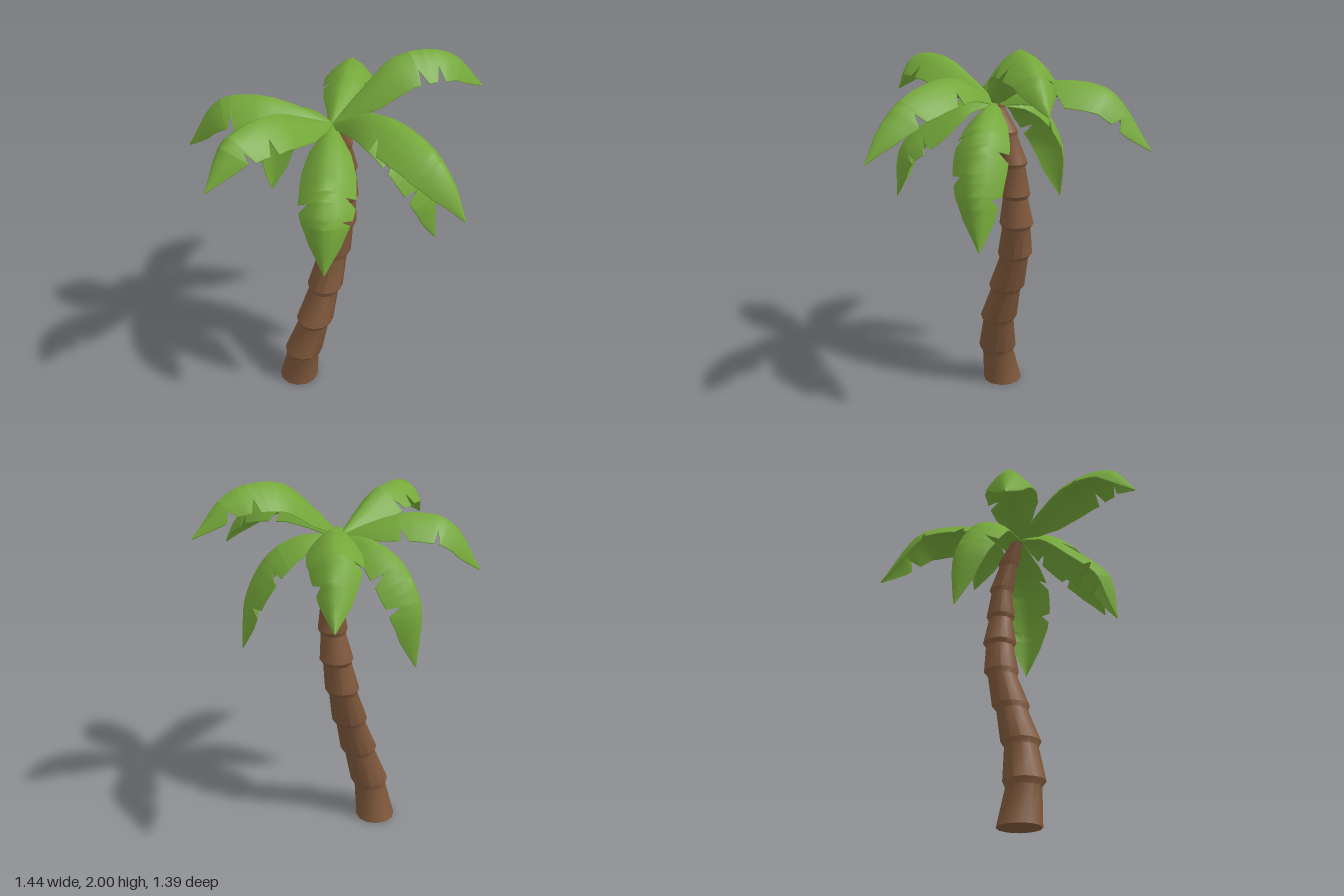
import * as THREE from 'three';
import { toCreasedNormals } from 'three/addons/utils/BufferGeometryUtils.js';

const leafGreen = new THREE.MeshStandardMaterial({ color: 0x75a83a });
leafGreen.name = 'leafGreen';
const barkBrown = new THREE.MeshStandardMaterial({ color: 0x80593c });
barkBrown.name = 'barkBrown';

// Indexed geometry from rows of equal length; flip turns the faces over
function gridGeometry(rows, flip = false) {
  const n = rows[0].length, index = [];
  for (let i = 0; i < rows.length - 1; i++) {
    for (let j = 0; j < n - 1; j++) {
      const a = i * n + j, b = a + 1, c = a + n, d = c + 1;
      if (flip) index.push(a, b, c, b, d, c);
      else index.push(a, c, b, b, c, d);
    }
  }
  const g = new THREE.BufferGeometry().setFromPoints(rows.flat());
  g.setIndex(index);
  g.computeVertexNormals();
  return g;
}

// Trunk: each segment starts wide and tapers to a pinch below the next ledge
function makeTrunk() {
  const joints = [ // x, y, z, radius
    [-0.2, 0, 0.09, 0.11], [-0.165, 0.23, 0.115, 0.106], [-0.1, 0.45, 0.1, 0.102],
    [-0.045, 0.66, 0.05, 0.097], [0, 0.87, 0, 0.092], [0.03, 1.05, -0.01, 0.09],
    [0.05, 1.22, -0.005, 0.078], [0.055, 1.39, 0.0, 0.068], [0.04, 1.55, 0.04, 0.058],
    [0.01, 1.68, 0.09, 0.04],
  ];
  const sides = 12, rows = [];
  const ring = (x, y, z, r) => Array.from({ length: sides + 1 }, (_, k) => {
    const a = (k % sides) / sides * Math.PI * 2;
    return new THREE.Vector3(x + r * Math.cos(a), y, z + r * Math.sin(a));
  });
  joints.forEach(([x, y, z, r], i) => {
    if (i > 0) {
      const p = joints[i - 1], t = 0.86;
      rows.push(ring(p[0] + (x - p[0]) * t, p[1] + (y - p[1]) * t, p[2] + (z - p[2]) * t, r * 0.84));
    }
    rows.push(ring(x, y, z, r));
  });
  rows.unshift(ring(-0.2, 0, 0.09, 0));
  rows.push(ring(0.01, 1.69, 0.09, 0));
  return new THREE.Mesh(toCreasedNormals(gridGeometry(rows), 0.6), barkBrown);
}

// Half width of a frond along its length
const outline = [[0, 0.02], [0.1, 0.055], [0.22, 0.1], [0.38, 0.132], [0.55, 0.135],
  [0.72, 0.115], [0.86, 0.075], [1, 0.003]];
function halfWidth(t, notches) {
  let k = 1;
  while (k < outline.length - 1 && outline[k][0] < t) k++;
  const [t0, w0] = outline[k - 1], [t1, w1] = outline[k];
  let w = w0 + (w1 - w0) * (t - t0) / (t1 - t0);
  // Sharp cut on the inner side of each notch, sloping out again
  for (const n of notches) {
    const d = t - n;
    if (d > 0.001 && d < 0.06) w *= 1 - 0.36 * Math.min(d / 0.012, (0.06 - d) / 0.048);
  }
  return w;
}

// Frond: arched blade folded down from a ridge, with a thin underside
function makeFrond({ path, right, left }) {
  const pts = [[0, 1.69, 0.1], ...path].map(p => new THREE.Vector3(...p));
  const curve = new THREE.CatmullRomCurve3(pts, false, 'centripetal');
  const tip = pts[pts.length - 1];
  const heading = new THREE.Vector3(tip.x - pts[0].x, 0, tip.z - pts[0].z).normalize();
  const side = new THREE.Vector3(0, 1, 0).cross(heading);
  const stations = Array.from({ length: 15 }, (_, i) => i / 14);
  for (const n of [...right, ...left]) stations.push(n, n + 0.012, n + 0.06);
  stations.sort((a, b) => a - b);
  const top = [], under = [];
  for (const t of stations) {
    const p = curve.getPointAt(t);
    const up = curve.getTangentAt(t).cross(side).normalize();
    const rowTop = [], rowUnder = [];
    for (const u of [-1, -0.75, -0.4, 0, 0.4, 0.75, 1]) {
      const w = halfWidth(t, u < 0 ? right : left), full = halfWidth(t, []);
      const s = u * w, v = Math.abs(s) / full;
      const drop = full * (0.35 * v + 0.5 * v * v);
      const thick = 0.022 * (1 - u * u) * Math.min(1, (1 - t) * 5) + 0.004;
      rowTop.push(p.clone().addScaledVector(side, s).addScaledVector(up, -drop));
      rowUnder.push(p.clone().addScaledVector(side, s).addScaledVector(up, -drop - thick));
    }
    top.push(rowTop);
    under.push(rowUnder);
  }
  const frond = new THREE.Group();
  // Rim strips close the gap between the two faces
  const rim = k => top.map((r, i) => [r[k], under[i][k]]);
  const parts = { bladeTop: gridGeometry(top), bladeUnderside: gridGeometry(under, true),
    rightRim: gridGeometry(rim(0), true), leftRim: gridGeometry(rim(6)) };
  for (const [name, g] of Object.entries(parts)) {
    const m = new THREE.Mesh(g, leafGreen);
    m.name = name;
    frond.add(m);
  }
  return frond;
}

// Ridge paths from the crown outward, with notch positions on each edge
const fronds = {
  backFrond: { path: [[0.03, 1.77, -0.07], [0.05, 1.81, -0.2], [0.065, 1.77, -0.47], [0.08, 1.47, -0.69]],
    right: [0.34, 0.76], left: [0.32, 0.6] },
  backLeftFrond: { path: [[0.13, 1.84, 0.05], [0.3, 1.99, -0.03], [0.54, 1.97, -0.12], [0.72, 1.77, -0.2]],
    right: [0.5, 0.62], left: [0.62, 0.78] },
  leftFrond: { path: [[0.2, 1.69, 0.12], [0.37, 1.59, 0.14], [0.5, 1.36, 0.15], [0.53, 1.07, 0.13]],
    right: [0.35, 0.6], left: [0.45, 0.72] },
  frontLeftFrond: { path: [[0.2, 1.84, 0.27], [0.41, 1.81, 0.45], [0.55, 1.67, 0.57], [0.62, 1.52, 0.63]],
    right: [0.4], left: [0.36, 0.66] },
  frontFrond: { path: [[0, 1.7, 0.25], [0, 1.6, 0.43], [0, 1.44, 0.6], [0, 1.18, 0.63]],
    right: [0.55], left: [0.5, 0.66] },
  frontRightFrond: { path: [[-0.12, 1.79, 0.24], [-0.25, 1.88, 0.4], [-0.41, 1.85, 0.59], [-0.5, 1.66, 0.7]],
    right: [0.4, 0.54], left: [0.55, 0.72] },
  rightFrond: { path: [[-0.18, 1.77, 0.08], [-0.38, 1.81, 0.07], [-0.56, 1.76, 0.05], [-0.72, 1.51, 0.04]],
    right: [0.33, 0.58], left: [0.56] },
  backRightFrond: { path: [[-0.15, 1.7, -0.03], [-0.28, 1.61, -0.13], [-0.37, 1.4, -0.22], [-0.36, 1.09, -0.23]],
    right: [0.4, 0.62], left: [0.5] },
};

export function createModel() {
  const palm = new THREE.Group();
  palm.name = 'palmTree';
  const trunk = makeTrunk();
  trunk.name = 'trunk';
  palm.add(trunk);
  for (const [name, spec] of Object.entries(fronds)) {
    const frond = makeFrond(spec);
    frond.name = name;
    palm.add(frond);
  }
  return palm;
}
